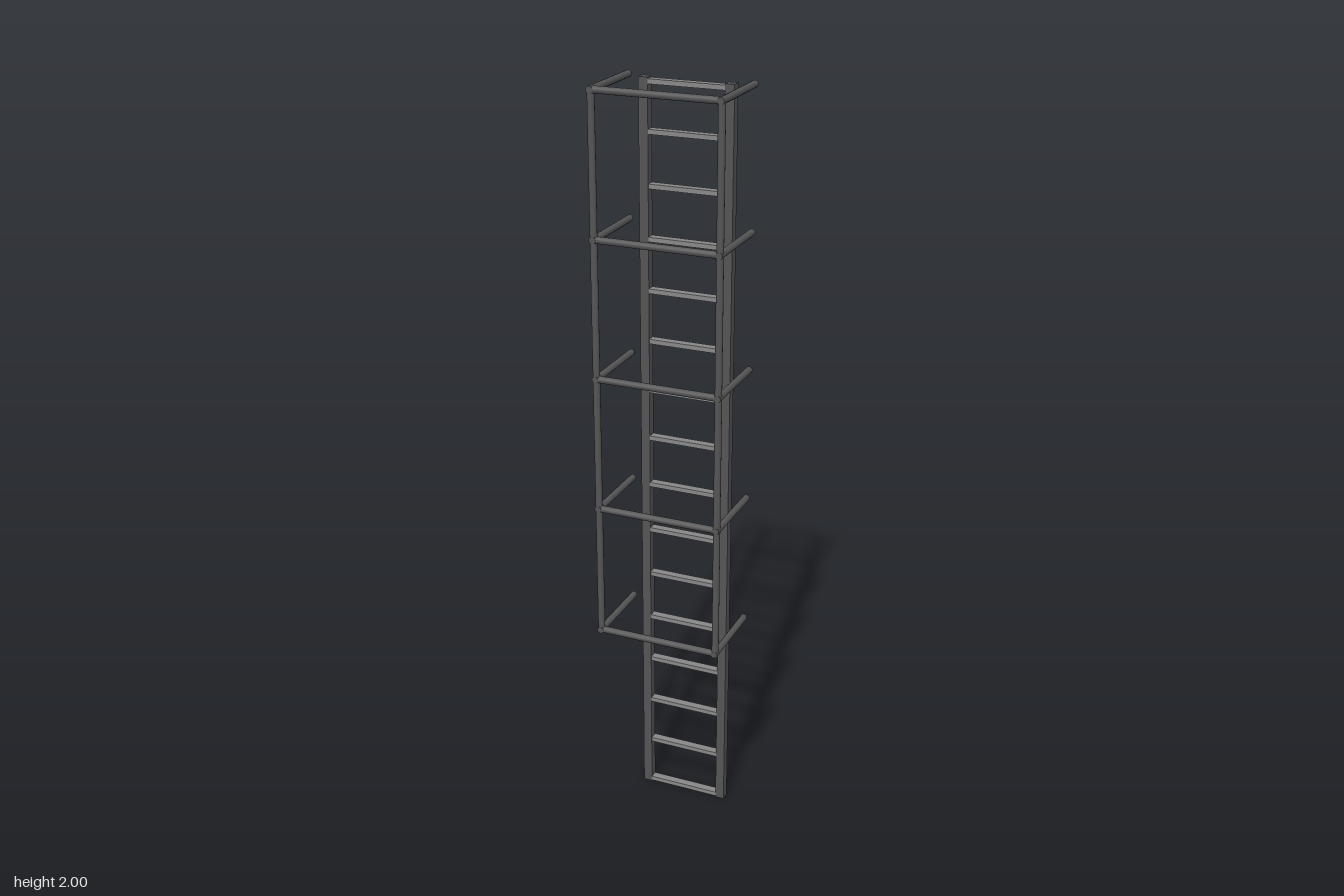
import * as THREE from 'three';

const darkSteel = new THREE.MeshStandardMaterial({ color: 0x555555 });
const rungSteel = new THREE.MeshStandardMaterial({ color: 0x888888 });

export function createModel() {
  const model = new THREE.Group();
  model.name = 'cagedLadder';

  const add = (parent, name, geometry, material, x, y, z) => {
    const mesh = new THREE.Mesh(geometry, material);
    mesh.name = name;
    mesh.position.set(x, y, z);
    parent.add(mesh);
    return mesh;
  };

  // Round bar of the cage, lying along the given axis
  const barRadius = 0.009;
  const bar = (length, axis) => {
    const g = new THREE.CylinderGeometry(barRadius, barRadius, length, 12);
    if (axis === 'x') g.rotateZ(Math.PI / 2);
    if (axis === 'z') g.rotateX(Math.PI / 2);
    return g;
  };

  // Ladder: two square rails and sixteen flat rungs
  const ladder = new THREE.Group();
  ladder.name = 'ladder';
  model.add(ladder);
  const ladderZ = -0.092;
  const railGeometry = new THREE.BoxGeometry(0.024, 1.992, 0.024);
  for (const side of [-1, 1]) {
    add(ladder, side > 0 ? 'leftRail' : 'rightRail', railGeometry, darkSteel, side * 0.11, 0.996, ladderZ);
  }
  const rungGeometry = new THREE.BoxGeometry(0.2, 0.012, 0.022);
  for (let i = 0; i < 16; i++) {
    const y = Math.min(0.008 + i * 0.1325, 1.982);
    add(ladder, 'rung', rungGeometry, rungSteel, 0, y, ladderZ);
  }

  // Safety cage: five open hoops joined by two uprights at the front corners
  const cage = new THREE.Group();
  cage.name = 'safetyCage';
  model.add(cage);
  const cageX = 0.161, frontZ = 0.097, backZ = -0.11;
  const bottomY = 0.58, topY = 1.991;
  const frontBar = bar(cageX * 2, 'x');
  const sideLength = frontZ + barRadius - backZ;
  const sideBar = bar(sideLength, 'z');
  const upright = bar(topY - bottomY, 'y');
  for (let i = 0; i < 5; i++) {
    const y = THREE.MathUtils.lerp(bottomY, topY, i / 4);
    const hoop = new THREE.Group();
    hoop.name = 'hoop';
    cage.add(hoop);
    add(hoop, 'hoopFront', frontBar, darkSteel, 0, y, frontZ);
    for (const side of [-1, 1]) {
      add(hoop, 'hoopArm', sideBar, darkSteel, side * cageX, y, backZ + sideLength / 2);
    }
  }
  for (const side of [-1, 1]) {
    add(cage, side > 0 ? 'leftUpright' : 'rightUpright', upright, darkSteel, side * cageX, (bottomY + topY) / 2, frontZ);
  }

  return model;
}
